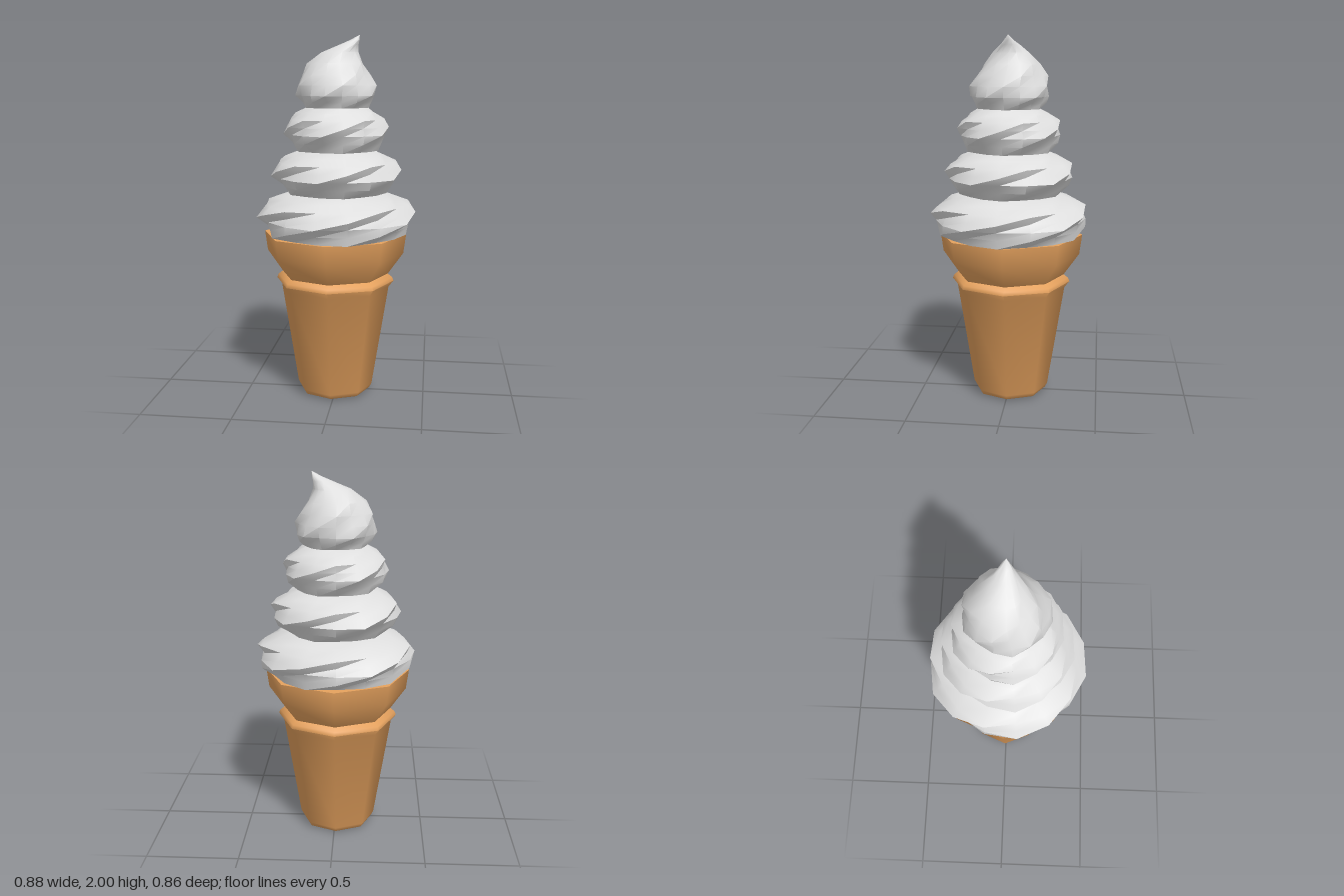
import * as THREE from 'three';
import { toCreasedNormals } from 'three/addons/utils/BufferGeometryUtils.js';

const LOBES = 5;
const STEP = 24; // degrees between columns, and twist from row to row
const SECTION = [1, 0.915, 0.945]; // ridge, groove under it, slope up to the next ridge

// Five-ridged twisted body lofted through rows of [y, ridge radius, centre x, centre z]
function swirl(rows) {
  const n = LOBES * SECTION.length;
  const pos = [], index = [];
  rows.forEach(([y, r, cx = 0, cz = 0], i) => {
    for (let j = 0; j < n; j++) {
      const a = THREE.MathUtils.degToRad(69 + (i + j) * STEP);
      const rr = r * SECTION[j % SECTION.length];
      pos.push(cx + Math.cos(a) * rr, y, cz - Math.sin(a) * rr);
    }
  });
  for (let i = 0; i < rows.length - 1; i++) {
    for (let j = 0; j < n; j++) {
      const a = i * n + j, b = i * n + (j + 1) % n;
      index.push(a, b, a + n, b, b + n, a + n);
    }
  }
  // Close both ends
  const first = rows[0], last = rows[rows.length - 1];
  const bottom = pos.length / 3, top = bottom + 1, lastRow = (rows.length - 1) * n;
  pos.push(first[2] || 0, first[0], first[3] || 0, last[2] || 0, last[0], last[3] || 0);
  for (let j = 0; j < n; j++) {
    const k = (j + 1) % n;
    index.push(bottom, k, j, top, lastRow + j, lastRow + k);
  }
  const g = new THREE.BufferGeometry();
  g.setAttribute('position', new THREE.Float32BufferAttribute(pos, 3));
  g.setIndex(index);
  return toCreasedNormals(g, 0.65);
}

export function createModel() {
  const group = new THREE.Group();
  const wafer = new THREE.MeshStandardMaterial({ color: 0xe6a25e });
  wafer.name = 'wafer';
  const cream = new THREE.MeshStandardMaterial({ color: 0xdedede });
  cream.name = 'cream';
  const add = (name, geometry, material) => {
    const mesh = new THREE.Mesh(geometry, material);
    mesh.name = name;
    group.add(mesh);
    return mesh;
  };

  // Eight-sided wafer cup with collar and flared rim
  const profile = [
    [0, 0], [0.177, 0], [0.2, 0.01], [0.213, 0.035], [0.305, 0.615], [0.333, 0.65],
    [0.325, 0.67], [0.3, 0.69], [0.385, 0.81], [0.4, 0.92], [0, 0.92],
  ].map(([r, y]) => new THREE.Vector2(r, y));
  const cup = add('waferCup', toCreasedNormals(new THREE.LatheGeometry(profile, 8), 1.0), wafer);
  cup.position.set(-0.01, 0, -0.005);

  // Three stacked layers: base height, widest radius, relative radius at the bottom
  const layers = [[0.92, 0.447, 0.87], [1.15, 0.365, 0.76], [1.383, 0.292, 0.79]];
  layers.forEach(([y0, radius, foot], i) => {
    const envelope = [
      [0, foot], [0.045, foot * 0.45 + 0.55], [0.09, 1], [0.13, 0.985],
      [0.17, 0.94], [0.205, 0.77], [0.233, 0.6],
    ];
    add('creamLayer' + (i + 1), swirl(envelope.map(([dy, f]) => [y0 + dy, radius * f])), cream);
  });

  // Top layer, narrowing into a tip bent to one side
  add('creamTip', swirl([
    [1.615, 0.178], [1.645, 0.2], [1.68, 0.225], [1.735, 0.22],
    [1.79, 0.198, -0.005, -0.01], [1.85, 0.16, -0.005, -0.015],
    [1.91, 0.104, 0.015, -0.012], [1.95, 0.055, 0.065, -0.008],
    [1.975, 0.026, 0.1, -0.006], [2, 0.002, 0.123, -0.005],
  ]), cream);

  return group;
}
